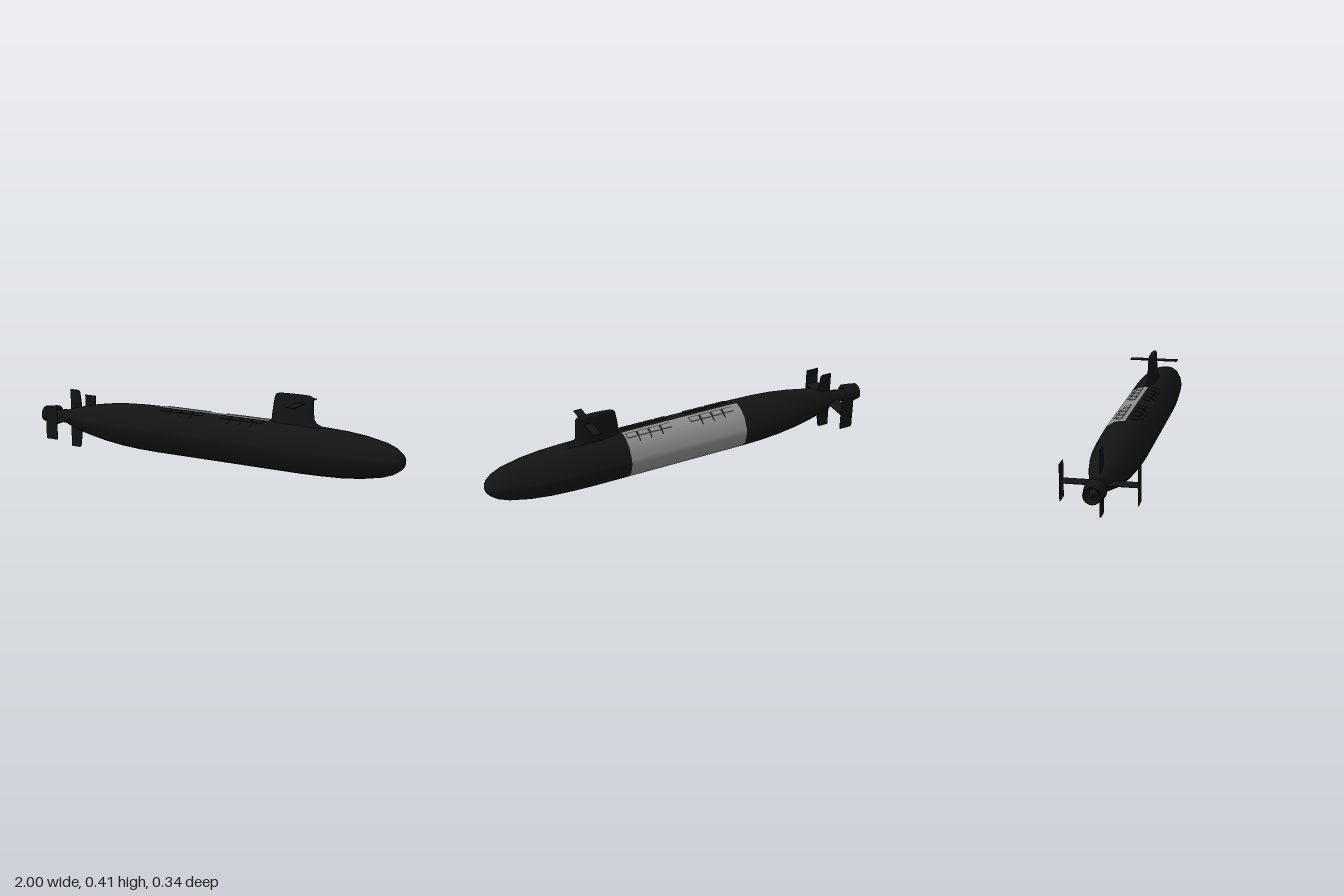
import * as THREE from 'three';

const AXIS = 0.155; // height of the hull's centre line
const dark = new THREE.MeshStandardMaterial({ color: 0x141414 });
const darkThin = new THREE.MeshStandardMaterial({ color: 0x141414, side: THREE.DoubleSide });
const grey = new THREE.MeshStandardMaterial({ color: 0x8c8c8c });

function add(parent, name, geometry, material = dark) {
  const mesh = new THREE.Mesh(geometry, material);
  mesh.name = name;
  parent.add(mesh);
  return mesh;
}

function box(parent, name, size, pos, material = dark) {
  const mesh = add(parent, name, new THREE.BoxGeometry(...size), material);
  mesh.position.set(...pos);
  return mesh;
}

// Smooth skin over rings of points; pick(ring, side) tells which quads to keep
function loft(rings, pick = () => true) {
  const n = rings[0].length;
  const geometry = new THREE.BufferGeometry();
  geometry.setAttribute('position', new THREE.Float32BufferAttribute(rings.flat(2), 3));
  const all = [], kept = [];
  for (let r = 0; r < rings.length - 1; r++) {
    for (let i = 0; i < n; i++) {
      const a = r * n + i, b = r * n + (i + 1) % n;
      const quad = [a, b, b + n, a, b + n, a + n];
      all.push(...quad);
      if (pick(r, i)) kept.push(...quad);
    }
  }
  geometry.setIndex(all);
  geometry.computeVertexNormals();
  geometry.setIndex(kept);
  return geometry;
}

// Half of the hull section as [z, y], from the deck to the keel
const half = [[0, 0.267], [0.02, 0.267], [0.05, 0.26], [0.087, 0.235], [0.116, 0.182],
  [0.118, 0.155], [0.103, 0.1], [0.07, 0.06], [0.025, 0.041], [0, 0.041]];
const section = [...half, ...half.slice(1, -1).reverse().map(([z, y]) => [-z, y])];

// Hull stations as [x, scale of the section]
const stations = [[-0.93, 0.15], [-0.9, 0.18], [-0.87, 0.27], [-0.8, 0.47], [-0.7, 0.68],
  [-0.6, 0.83], [-0.5, 0.93], [-0.4, 0.98], [-0.295, 1], [0, 1], [0.315, 1], [0.5, 1],
  [0.6, 0.98], [0.7, 0.94], [0.8, 0.85], [0.9, 0.68], [0.95, 0.52], [0.98, 0.34],
  [0.993, 0.2], [1, 0.001]];

function addHull(group) {
  const rings = stations.map(([x, s]) =>
    section.map(([z, y]) => [x, AXIS + (y - AXIS) * s, z * s]));
  const inPanel = (r, i) =>
    stations[r][0] >= -0.3 && stations[r + 1][0] <= 0.32 && i >= half.length - 1;
  add(group, 'hull', loft(rings, (r, i) => !inPanel(r, i)));
  add(group, 'flankPanel', loft(rings, inPanel), grey);
}

// Low hatches on the shoulders of the deck, with dark seams between them
function addHatches(group) {
  for (const side of [1, -1]) {
    const tilt = side * Math.atan2(0.007, 0.03);
    for (const start of [-0.23, 0.1]) {
      for (let k = 0; k < 4; k++) {
        const x = start + k * 0.06;
        const hatch = box(group, 'deckHatch', [0.05, 0.006, 0.03], [x, 0.2645, side * 0.035],
          side > 0 ? dark : grey);
        hatch.rotation.x = tilt;
        if (k === 3) continue;
        const seam = box(group, 'hatchSeam', [0.004, 0.004, 0.03], [x + 0.03, 0.2637, side * 0.035]);
        seam.rotation.x = tilt;
        const lower = box(group, 'hatchSeam', [0.004, 0.004, 0.025], [x + 0.03, 0.253, side * 0.06]);
        lower.rotation.x = side * Math.atan2(0.025, 0.037);
      }
    }
  }
}

// Teardrop tower with a fillet at the foot of its leading edge
function addSail(group) {
  const sail = new THREE.Group();
  sail.name = 'sail';
  const levels = [[0.25, 0.325, 0.62, 0.022], [0.268, 0.328, 0.595, 0.022],
    [0.28, 0.329, 0.565, 0.021], [0.3, 0.331, 0.55, 0.02], [0.35, 0.338, 0.546, 0.017],
    [0.39, 0.345, 0.545, 0.015], [0.402, 0.352, 0.542, 0.014], [0.408, 0.368, 0.53, 0.011],
    [0.409, 0.45, 0.451, 0.0001]];
  const rings = levels.map(([y, back, front, width]) =>
    Array.from({ length: 20 }, (_, i) => {
      const t = i / 20 * Math.PI * 2;
      return [back + (front - back) * (1 + Math.cos(t)) / 2, y,
        -width * Math.sin(t) * (1 + 0.25 * Math.cos(t))];
    }));
  add(sail, 'sailTower', loft(rings));
  box(sail, 'sailPlanes', [0.04, 0.004, 0.242], [0.485, 0.37, 0.002]);
  group.add(sail);
}

function addTail(group) {
  const tail = new THREE.Group();
  tail.name = 'tail';

  // Upright rudder with clipped corners
  const shape = new THREE.Shape([[-0.835, 0.0], [-0.785, 0.0], [-0.777, 0.008], [-0.768, 0.08],
    [-0.768, 0.225], [-0.777, 0.29], [-0.785, 0.3], [-0.835, 0.3]]
    .map(p => new THREE.Vector2(...p)));
  const rudder = add(tail, 'rudder', new THREE.ExtrudeGeometry(shape,
    { depth: 0.006, bevelEnabled: false }));
  rudder.position.z = -0.003;

  // Level planes and their upright end plates
  box(tail, 'sternPlanes', [0.068, 0.003, 0.334], [-0.833, AXIS, 0]);
  for (const side of [1, -1]) {
    box(tail, 'endPlate', [0.068, 0.165, 0.003], [-0.833, AXIS, side * 0.168]);
  }

  // Shaft cone and propeller shroud, turned about the hull's axis
  const turn = (name, points) => {
    const mesh = add(tail, name, new THREE.LatheGeometry(
      points.map(p => new THREE.Vector2(...p)), 16), darkThin);
    mesh.rotation.z = -Math.PI / 2;
    mesh.position.y = AXIS;
  };
  turn('shaftCone', [[0, -0.985], [0.015, -0.975], [0.026, -0.92], [0.036, -0.87]]);
  turn('shroud', [[0.034, -0.92], [0.03, -0.99], [0.037, -1], [0.04, -0.998],
    [0.046, -0.96], [0.05, -0.925], [0.046, -0.918], [0.034, -0.92]]);
  turn('propellerDisc', [[0, -0.96], [0.034, -0.96]]);
  group.add(tail);
}

export function createModel() {
  const group = new THREE.Group();
  group.name = 'submarine';
  addHull(group);
  addHatches(group);
  addSail(group);
  addTail(group);
  return group;
}
